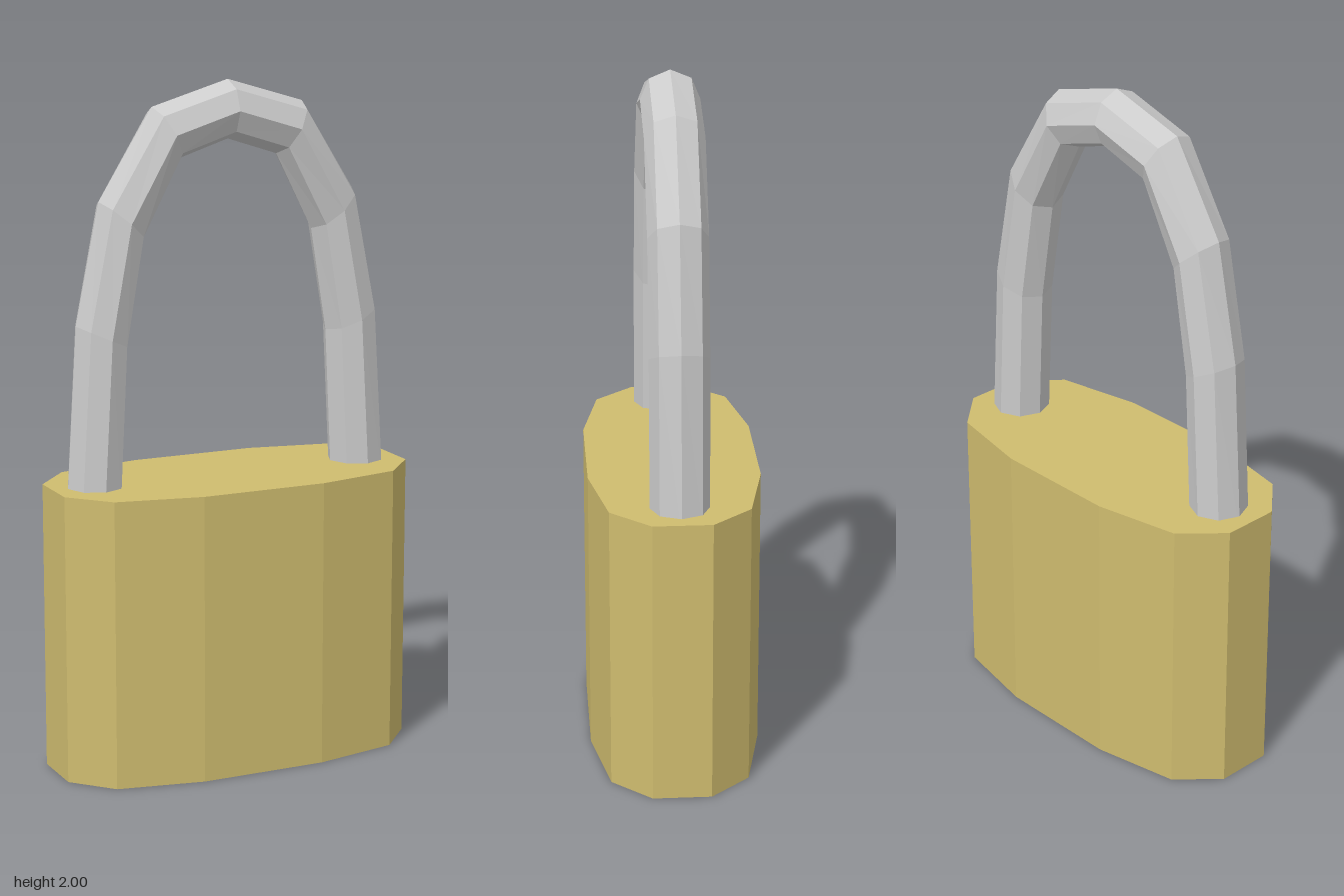
import * as THREE from 'three';

// Twelve-sided prism body
function createBody() {
  const quarter = [[0.55, 0.085], [0.445, 0.2], [0.19, 0.25]];
  const half = [...quarter, ...quarter.map(([x, z]) => [-x, z]).reverse()];
  const outline = [...half, ...half.map(([x, z]) => [x, -z]).reverse()];
  const shape = new THREE.Shape(outline.map(([x, z]) => new THREE.Vector2(x, z)));
  const geometry = new THREE.ExtrudeGeometry(shape, { depth: 0.85, bevelEnabled: false });
  geometry.rotateX(-Math.PI / 2);
  const body = new THREE.Mesh(geometry, new THREE.MeshStandardMaterial({ color: 0xcfbc6f, flatShading: true }));
  body.name = 'body';
  return body;
}

// Octagonal rod swept through an arch; feet sink slightly into the body
function createShackle() {
  const radius = 0.085, sides = 8;
  // Each row: outer x, outer y, inner x, inner y
  const left = [
    [-0.508, 0.8, -0.342, 0.8],
    [-0.475, 1.32, -0.32, 1.25],
    [-0.402, 1.67, -0.27, 1.555],
    [-0.237, 1.93, -0.155, 1.78],
  ];
  const right = left.map(([ox, oy, ix, iy]) => [-ox, oy, -ix, iy]).reverse();
  const rings = [...left, [0, 2, 0, 1.83], ...right];

  const positions = [], indices = [];
  rings.forEach(([ox, oy, ix, iy], i) => {
    for (let j = 0; j < sides; j++) {
      const a = (j / sides) * Math.PI * 2;
      const t = (1 + Math.cos(a)) / 2;
      positions.push(ix + (ox - ix) * t, iy + (oy - iy) * t, Math.sin(a) * radius);
      if (i === rings.length - 1) continue;
      const p = i * sides + j, q = i * sides + (j + 1) % sides;
      indices.push(p, q, p + sides, q, q + sides, p + sides);
    }
  });
  const indexed = new THREE.BufferGeometry();
  indexed.setAttribute('position', new THREE.Float32BufferAttribute(positions, 3));
  indexed.setIndex(indices);
  const geometry = indexed.toNonIndexed();
  geometry.computeVertexNormals();
  const material = new THREE.MeshStandardMaterial({ color: 0xcccccc, flatShading: true, side: THREE.DoubleSide });
  const shackle = new THREE.Mesh(geometry, material);
  shackle.name = 'shackle';
  return shackle;
}

export function createModel() {
  const padlock = new THREE.Group();
  padlock.name = 'padlock';
  padlock.add(createBody(), createShackle());
  return padlock;
}
